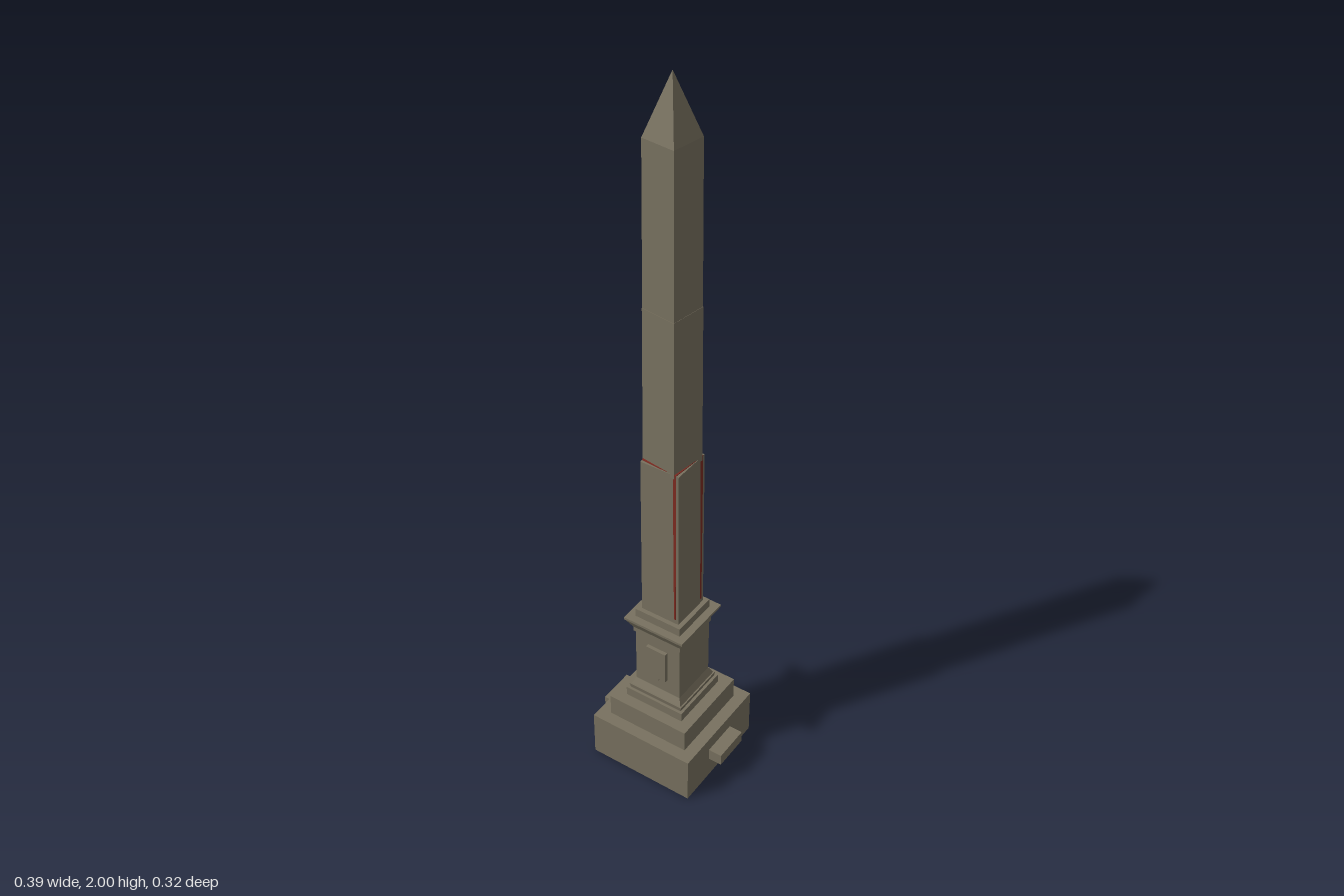
import * as THREE from 'three';

const stone = new THREE.MeshStandardMaterial({ color: 0x78715f, flatShading: true });
stone.name = 'weathered stone';
const red = new THREE.MeshStandardMaterial({ color: 0x7d2a20, flatShading: true });
red.name = 'red core';

// Square tapering block from y0 to y1 with half widths h0 (bottom) and h1 (top)
function block(name, y0, y1, h0, h1 = h0, material = stone) {
  const geo = new THREE.CylinderGeometry(h1 * Math.SQRT2, h0 * Math.SQRT2, y1 - y0, 4);
  geo.rotateY(Math.PI / 4);
  const mesh = new THREE.Mesh(geo, material);
  mesh.name = name;
  mesh.position.y = (y0 + y1) / 2;
  return mesh;
}

function box(name, w, h, d, x, y, z) {
  const mesh = new THREE.Mesh(new THREE.BoxGeometry(w, h, d), stone);
  mesh.name = name;
  mesh.position.set(x, y, z);
  return mesh;
}

export function createModel() {
  const model = new THREE.Group();
  model.name = 'obelisk';

  // Stepped base, pedestal and cornice: [name, y0, y1, bottom half width, top half width]
  const lower = new THREE.Group();
  lower.name = 'pedestal';
  lower.rotation.y = 0.025;
  model.add(lower);
  [
    ['baseLowerCourse', 0, 0.095, 0.156],
    ['baseUpperCourse', 0.095, 0.14, 0.156],
    ['secondStep', 0.14, 0.205, 0.122],
    ['thirdStep', 0.205, 0.232, 0.09],
    ['plinthRoll', 0.232, 0.245, 0.082, 0.084],
    ['plinthSlope', 0.245, 0.265, 0.08, 0.07],
    ['pedestalDie', 0.265, 0.44, 0.07],
    ['corniceNeck', 0.44, 0.455, 0.074],
    ['corniceFlare', 0.455, 0.485, 0.075, 0.091],
    ['corniceSlab', 0.485, 0.492, 0.092],
    ['shaftPlinth', 0.492, 0.517, 0.07],
  ].forEach((p) => lower.add(block(...p)));

  for (const s of [-1, 1]) {
    // Side ledges on the base
    lower.add(box('sideLedge', 0.06, 0.035, 0.105, s * 0.165, 0.082, 0));
    // Raised tablets with a small bracket, front and back
    lower.add(box('tablet', 0.062, 0.1, 0.018, 0, 0.36, s * 0.071));
    lower.add(box('tabletBracket', 0.014, 0.01, 0.012, 0, 0.305, s * 0.07));
  }

  // Lower shaft in even courses
  const courses = 8, y0 = 0.517, y1 = 1.0;
  const half = (i) => 0.0575 - 0.001 * i / courses;
  for (let i = 0; i < courses; i++) {
    const a = y0 + (y1 - y0) * i / courses;
    const b = y0 + (y1 - y0) * (i + 1) / courses;
    lower.add(block('shaftCourse', a, b, half(i), half(i + 1)));
  }

  // Red core, turned so that its corners just break through the courses
  const core = block('redCore', 0.53, 1.002, 0.0538, 0.0532, red);
  core.rotation.y = -0.055;
  model.add(core);

  // Upper shaft and pyramid tip, turned slightly against the pedestal
  const upper = new THREE.Group();
  upper.name = 'upperShaft';
  upper.rotation.y = -0.12;
  model.add(upper);
  upper.add(
    block('middleShaft', 0.99, 1.43, 0.0515, 0.0495),
    block('topShaft', 1.43, 1.85, 0.0488, 0.0468),
    block('pyramidTip', 1.85, 2.0, 0.0468, 0),
  );
  return model;
}
